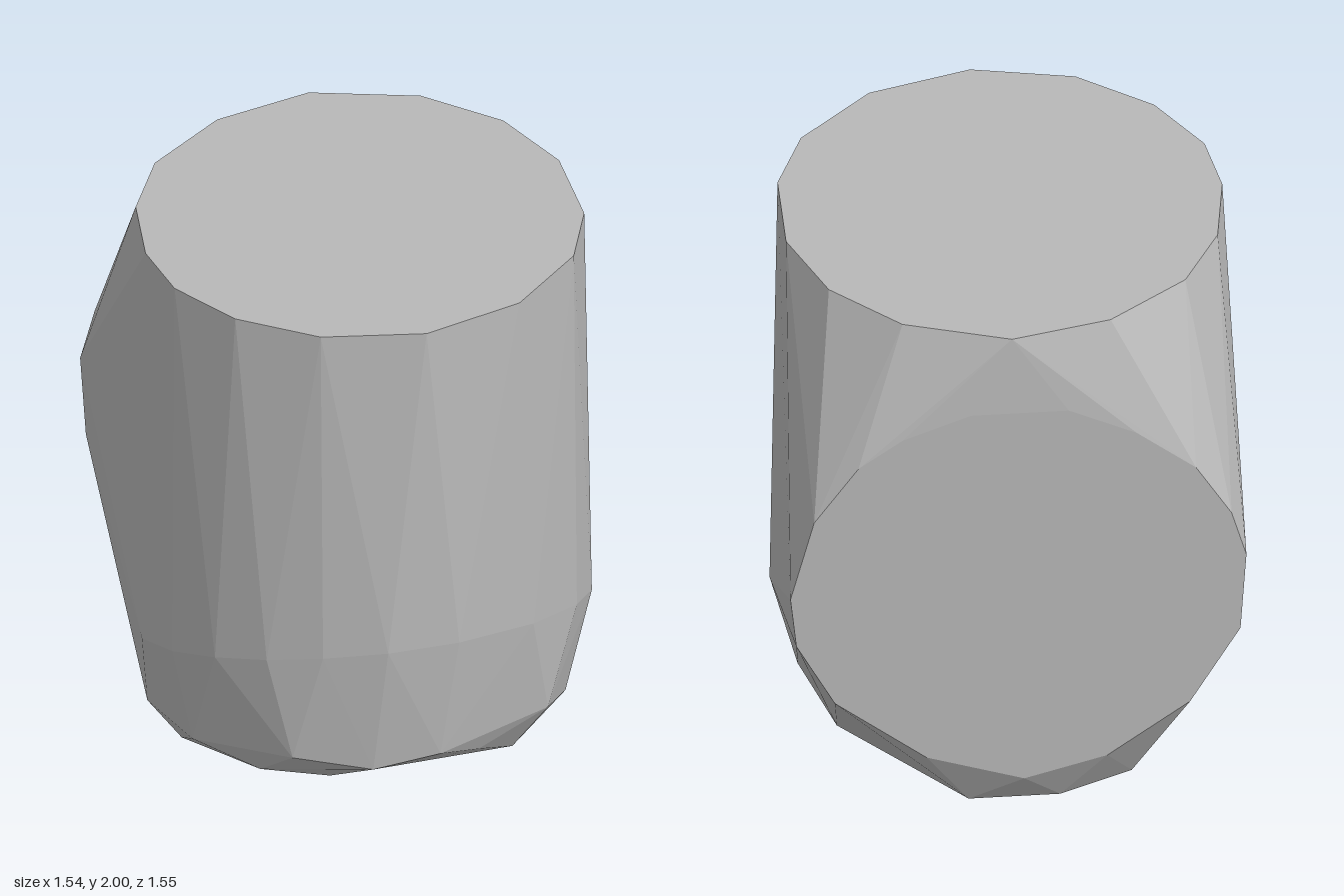
import * as THREE from 'three';
import { ConvexGeometry } from 'three/addons/geometries/ConvexGeometry.js';

export function createModel() {
  const group = new THREE.Group();
  group.name = 'elbowBlock';
  const grey = new THREE.MeshStandardMaterial({ color: 0xb8b8b8, flatShading: true });
  grey.name = 'plain grey';

  // Round top opening, outline as [x, z], tipped very slightly forward
  const top = [
    [0.02, -0.76], [0.38, -0.645], [0.61, -0.43], [0.73, -0.15], [0.73, 0.18],
    [0.63, 0.42], [0.38, 0.65], [0.03, 0.75], [-0.32, 0.68], [-0.57, 0.5],
    [-0.72, 0.27], [-0.76, 0.04], [-0.72, -0.24], [-0.59, -0.48], [-0.32, -0.68],
  ].map(([x, z]) => [x, 1.995 - 0.0065 * z, z]);

  // Round back opening, outline as [x, y]
  const back = [
    [0.77, 0.96], [0.75, 0.76], [0.62, 0.51], [0.31, 0.26], [-0.02, 0.15],
    [-0.3, 0.23], [-0.58, 0.44], [-0.75, 0.74], [-0.77, 1.05], [-0.72, 1.23],
    [-0.6, 1.43], [-0.4, 1.59], [-0.17, 1.7], [0.16, 1.7], [0.39, 1.61],
    [0.54, 1.5], [0.69, 1.28],
  ].map(([x, y]) => [x, y, -0.78]);

  // Sloping crease round the front where the walls turn inwards, as [x, z]
  const crease = [
    [-0.77, 0.03], [-0.73, 0.28], [-0.63, 0.46], [-0.49, 0.61], [-0.32, 0.71],
    [-0.11, 0.775], [0.14, 0.765], [0.43, 0.645], [0.63, 0.46], [0.73, 0.28], [0.77, 0.03],
  ].map(([x, z]) => [x, 0.425 + 0.405 * z, z]);

  // Lower bevel between the crease and the base
  const bevel = [
    [0.08, 0.285, 0.745], [-0.15, 0.25, 0.73], [-0.41, 0.29, 0.65], [0.5, 0.29, 0.57],
    [0.24, 0.21, 0.64], [-0.48, 0.155, 0.49], [-0.67, 0.2, 0.32], [0.63, 0.17, 0.31],
    [0.68, 0.105, -0.02], [-0.73, 0.13, -0.05],
  ];

  // Base, rising gently towards the front, as [x, z]
  const base = [
    [0.4, 0.48], [-0.24, 0.5], [0.57, -0.28], [0.16, -0.68], [-0.15, -0.68],
    [-0.4, -0.58], [-0.51, -0.35], [-0.65, 0.1],
  ].map(([x, z]) => [x, 0.054 + 0.08 * z, z]);

  // All outlines are wrapped in one faceted skin
  const points = [...top, ...back, ...crease, ...bevel, ...base]
    .map((p) => new THREE.Vector3(...p));
  const body = new THREE.Mesh(new ConvexGeometry(points), grey);
  body.name = 'body';
  group.add(body);
  return group;
}
